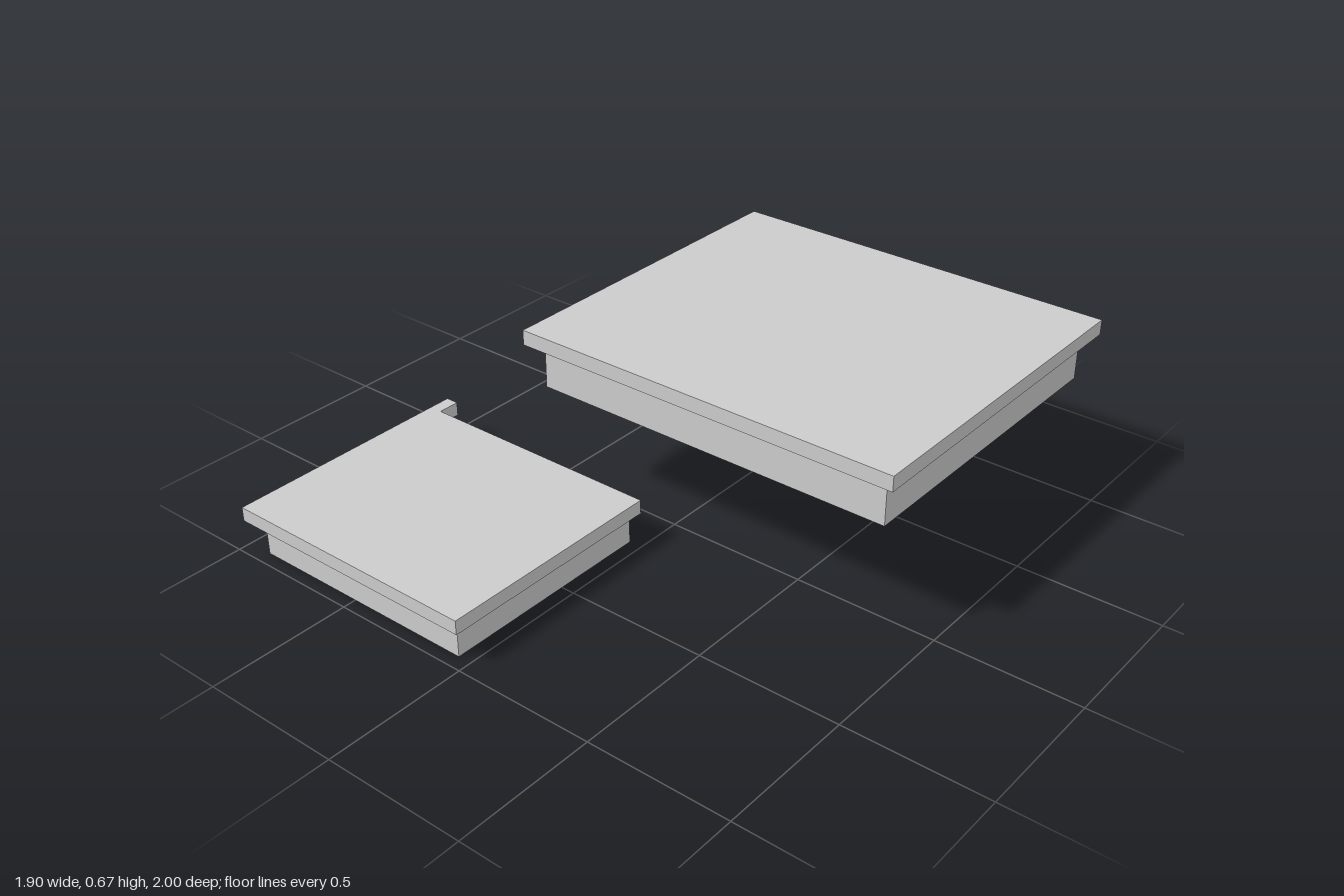
import * as THREE from 'three';

const grey = new THREE.MeshStandardMaterial({ color: 0xcccccc, flatShading: true });
const thin = new THREE.MeshStandardMaterial({ color: 0xcccccc, flatShading: true, side: THREE.DoubleSide });

// Box given by its extents on each axis
function block(name, [x0, x1], [y0, y1], [z0, z1]) {
  const mesh = new THREE.Mesh(new THREE.BoxGeometry(x1 - x0, y1 - y0, z1 - z0), grey);
  mesh.position.set((x0 + x1) / 2, (y0 + y1) / 2, (z0 + z1) / 2);
  mesh.name = name;
  return mesh;
}

// Rectangle path on the ground plan (shape y becomes -z)
function rectangle(PathType, [x0, x1], [z0, z1]) {
  return new PathType([[x0, -z1], [x1, -z1], [x1, -z0], [x0, -z0]].map(p => new THREE.Vector2(...p)));
}

// Flat rim with a rectangular opening
function rim(name, outerX, outerZ, innerX, innerZ, [y0, y1]) {
  const shape = rectangle(THREE.Shape, outerX, outerZ);
  shape.holes.push(rectangle(THREE.Path, innerX, innerZ));
  const geometry = new THREE.ExtrudeGeometry(shape, { depth: y1 - y0, bevelEnabled: false });
  geometry.rotateX(-Math.PI / 2).translate(0, y0, 0);
  const mesh = new THREE.Mesh(geometry, grey);
  mesh.name = name;
  return mesh;
}

// Four thin walls, open at the bottom
function skirt(name, [x0, x1], [y0, y1], [z0, z1]) {
  const group = new THREE.Group();
  group.name = name;
  const cx = (x0 + x1) / 2, cz = (z0 + z1) / 2, w = x1 - x0, d = z1 - z0;
  for (let i = 0; i < 4; i++) {
    const a = i * Math.PI / 2;
    const [length, reach] = i % 2 ? [d, w / 2] : [w, d / 2];
    const wall = new THREE.Mesh(new THREE.PlaneGeometry(length, y1 - y0), thin);
    wall.position.set(cx + Math.sin(a) * reach, (y0 + y1) / 2, cz + Math.cos(a) * reach);
    wall.rotation.y = a;
    wall.name = 'skirtWall';
    group.add(wall);
  }
  return group;
}

export function createModel() {
  const model = new THREE.Group();
  model.name = 'steppedPlatforms';

  // Upper platform: hollow underneath, with an overhanging slab
  const upper = new THREE.Group();
  upper.name = 'upperPlatform';
  const slabX = [-0.44, 0.95], slabZ = [-1, 0.22];
  const wallX = [-0.392, 0.903], wallZ = [-0.953, 0.172];
  upper.add(
    block('upperSlab', slabX, [0.635, 0.665], slabZ),
    rim('upperSlabRim', slabX, slabZ, wallX, wallZ, [0.613, 0.635]),
    skirt('upperSkirt', wallX, [0.457, 0.635], wallZ)
  );

  // Lower platform: solid base, flush at the back, with a small corner tab
  const lower = new THREE.Group();
  lower.name = 'lowerPlatform';
  lower.add(
    block('lowerSlab', [-0.953, 0], [0.13, 0.18], [0.172, 1]),
    block('lowerBase', [-0.906, -0.048], [0, 0.13], [0.172, 0.953]),
    block('cornerTab', [-0.953, -0.906], [0.13, 0.18], [0.092, 0.172])
  );

  model.add(upper, lower);
  return model;
}
